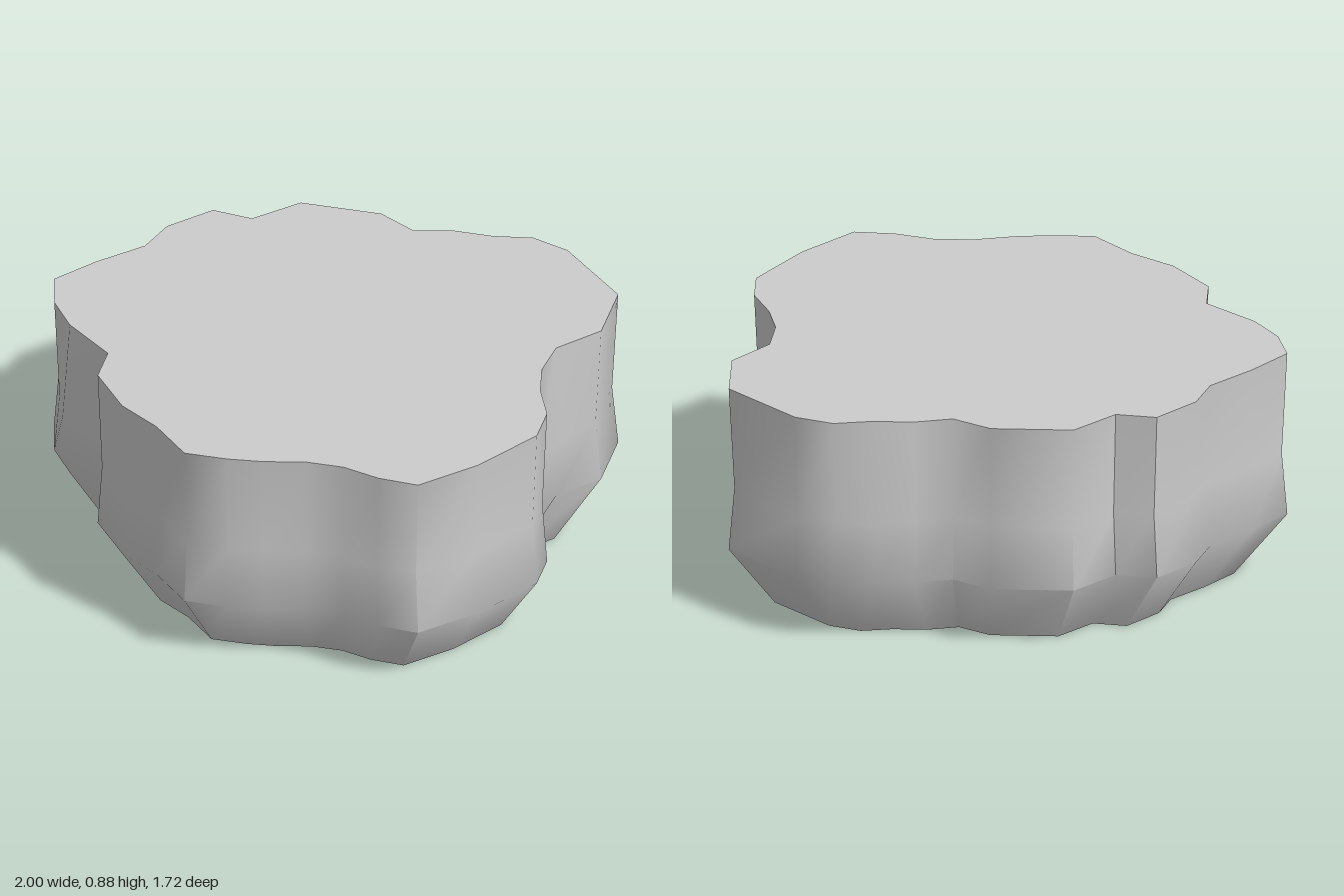
import * as THREE from 'three';
import { toCreasedNormals } from 'three/addons/utils/BufferGeometryUtils.js';

// Rim outline as [x, z], clockwise seen from above
const rim = [
  [-0.26, -0.86], [0.04, -0.86], [0.18, -0.78], [0.32, -0.815], [0.47, -0.815], [0.61, -0.84],
  [0.75, -0.79], [1, -0.55], [1, -0.3], [0.87, -0.15], [0.855, 0], [0.885, 0.14],
  [0.945, 0.28], [0.945, 0.43], [0.79, 0.67], [0.61, 0.855], [0.46, 0.845], [0.32, 0.805],
  [0.18, 0.805], [0.03, 0.84], [-0.1, 0.855], [-0.26, 0.855], [-0.4, 0.71], [-0.555, 0.605],
  [-0.69, 0.43], [-0.69, 0.28], [-0.87, 0.13], [-0.96, 0], [-1, -0.15], [-0.88, -0.3],
  [-0.735, -0.445], [-0.69, -0.59], [-0.555, -0.735], [-0.405, -0.715],
];

// Corners that bulge past the rim halfway down
const bulges = { 4: [0.46, -0.86], 6: [0.74, -0.81], 9: [0.895, -0.15], 26: [-0.895, 0.135] };

// Height, scale and x shift of each ring, from the ground up
const levels = [
  { y: 0, s: 0.822, dx: 0.016 },
  { y: 0.25, s: 1, dx: 0 },
  { y: 0.49, s: 0.98, dx: 0, bulge: true },
  { y: 0.885, s: 1, dx: 0 },
];

function ringPoints({ y, s, dx, bulge }) {
  return rim.map(([x, z], i) => {
    if (bulge && bulges[i]) return [bulges[i][0], y, bulges[i][1]];
    return [x * s + dx, y, z * s];
  });
}

function wallGeometry() {
  const rings = levels.map(ringPoints);
  const positions = [];
  for (let k = 0; k < rings.length - 1; k++) {
    const lo = rings[k], hi = rings[k + 1];
    for (let i = 0; i < rim.length; i++) {
      const j = (i + 1) % rim.length;
      positions.push(...lo[j], ...lo[i], ...hi[i], ...lo[j], ...hi[i], ...hi[j]);
    }
  }
  const geometry = new THREE.BufferGeometry();
  geometry.setAttribute('position', new THREE.Float32BufferAttribute(positions, 3));
  return toCreasedNormals(geometry, 0.87);
}

export function createModel() {
  const group = new THREE.Group();
  group.name = 'rockPlateau';
  const material = new THREE.MeshStandardMaterial({ color: 0xcccccc, side: THREE.DoubleSide });

  // Cliff wall, open underneath
  const wall = new THREE.Mesh(wallGeometry(), material);
  wall.name = 'cliffWall';

  // Flat top
  const shape = new THREE.Shape(rim.map(([x, z]) => new THREE.Vector2(x, -z)));
  const top = new THREE.Mesh(new THREE.ShapeGeometry(shape).rotateX(-Math.PI / 2), material);
  top.position.y = 0.885;
  top.name = 'flatTop';

  group.add(wall, top);
  return group;
}
